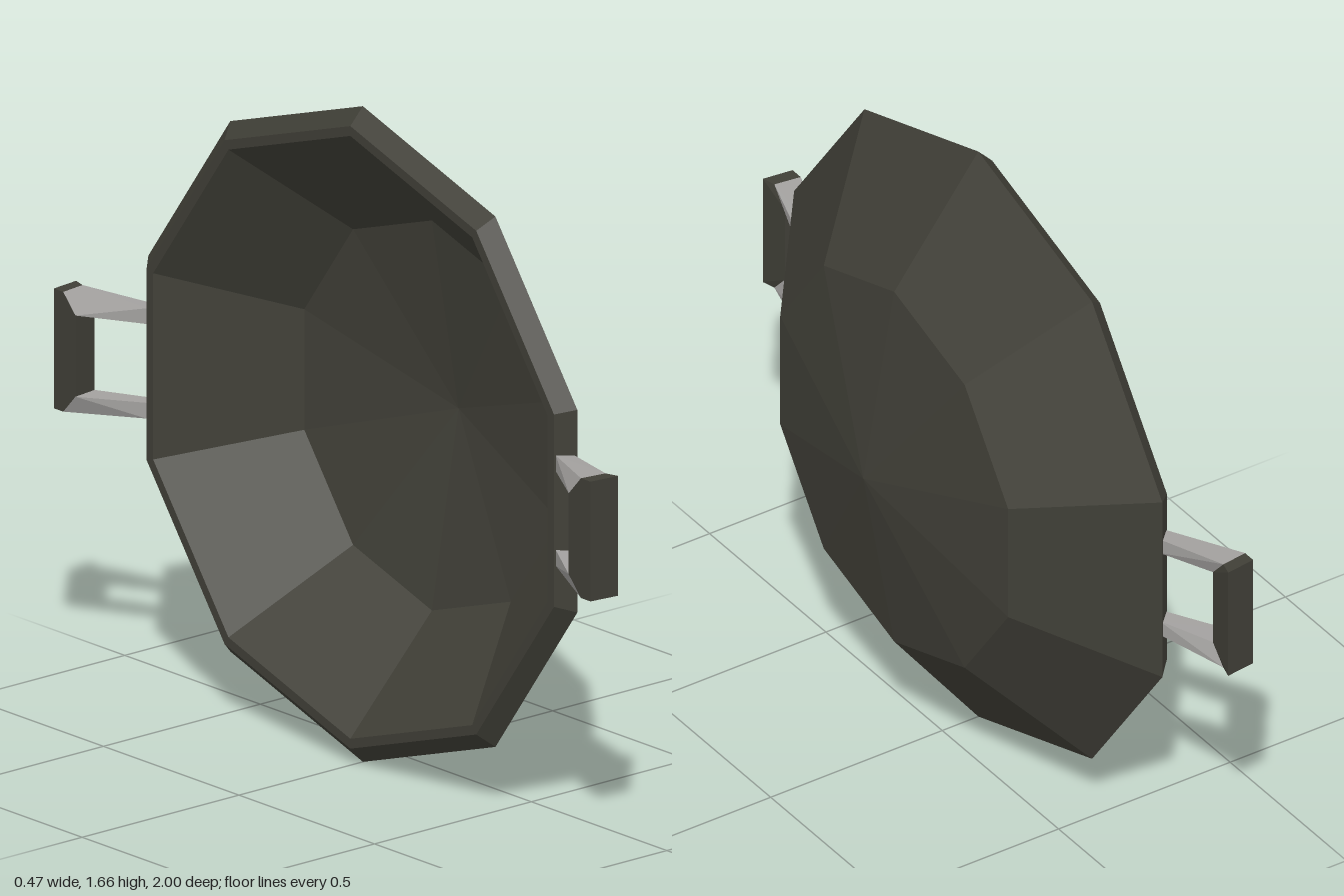
import * as THREE from 'three';
import { ConvexGeometry } from 'three/addons/geometries/ConvexGeometry.js';

const CENTER_Y = 0.832;

export function createModel() {
  const iron = new THREE.MeshStandardMaterial({ color: 0x403f37 });
  iron.name = 'darkIron';
  const steel = new THREE.MeshStandardMaterial({ color: 0xa3a19f });
  steel.name = 'greySteel';

  const model = new THREE.Group();
  model.name = 'pan';

  function add(parent, name, geometry, material) {
    const mesh = new THREE.Mesh(geometry, material);
    mesh.name = name;
    parent.add(mesh);
  }

  // Ten-sided bowl: inner wall, rim, then outer wall as [radius, depth along x]
  const profile = [
    [0, 0.2], [0.495, 0.115], [0.765, -0.145], [0.79, -0.145],
    [0.832, -0.105], [0.515, 0.14], [0, 0.23],
  ].map(([r, d]) => new THREE.Vector2(r, d));
  const bowl = new THREE.LatheGeometry(profile, 10, Math.PI / 2)
    .toNonIndexed()
    .rotateZ(-Math.PI / 2)
    .translate(0, CENTER_Y, 0);
  bowl.computeVertexNormals();
  add(model, 'bowl', bowl, iron);

  // A handle on each side: a mitred grip held by two tapering arms
  for (const side of [1, -1]) {
    const point = ([x, y, z]) => new THREE.Vector3(x, CENTER_Y + y, z * side);
    const hull = (corners) => new ConvexGeometry(corners.map(point));
    const handle = new THREE.Group();
    handle.name = side > 0 ? 'frontHandle' : 'backHandle';
    model.add(handle);

    // Sloping joint shared by the grip and an arm
    const joint = (s) => [
      [-0.235, 0.152 * s, 0.955], [-0.165, 0.152 * s, 0.965],
      [-0.235, 0.103 * s, 0.91], [-0.165, 0.103 * s, 0.92],
    ];
    const ends = [1, -1].flatMap((s) => [
      ...joint(s), [-0.235, 0.152 * s, 0.99], [-0.155, 0.152 * s, 1],
    ]);
    add(handle, 'grip', hull(ends), iron);

    for (const s of [1, -1]) {
      const root = [
        [-0.142, 0.14 * s, 0.755], [-0.105, 0.14 * s, 0.775],
        [-0.142, 0.1 * s, 0.755], [-0.105, 0.1 * s, 0.775],
      ];
      add(handle, s > 0 ? 'upperArm' : 'lowerArm', hull([...joint(s), ...root]), steel);
    }
  }

  return model;
}
